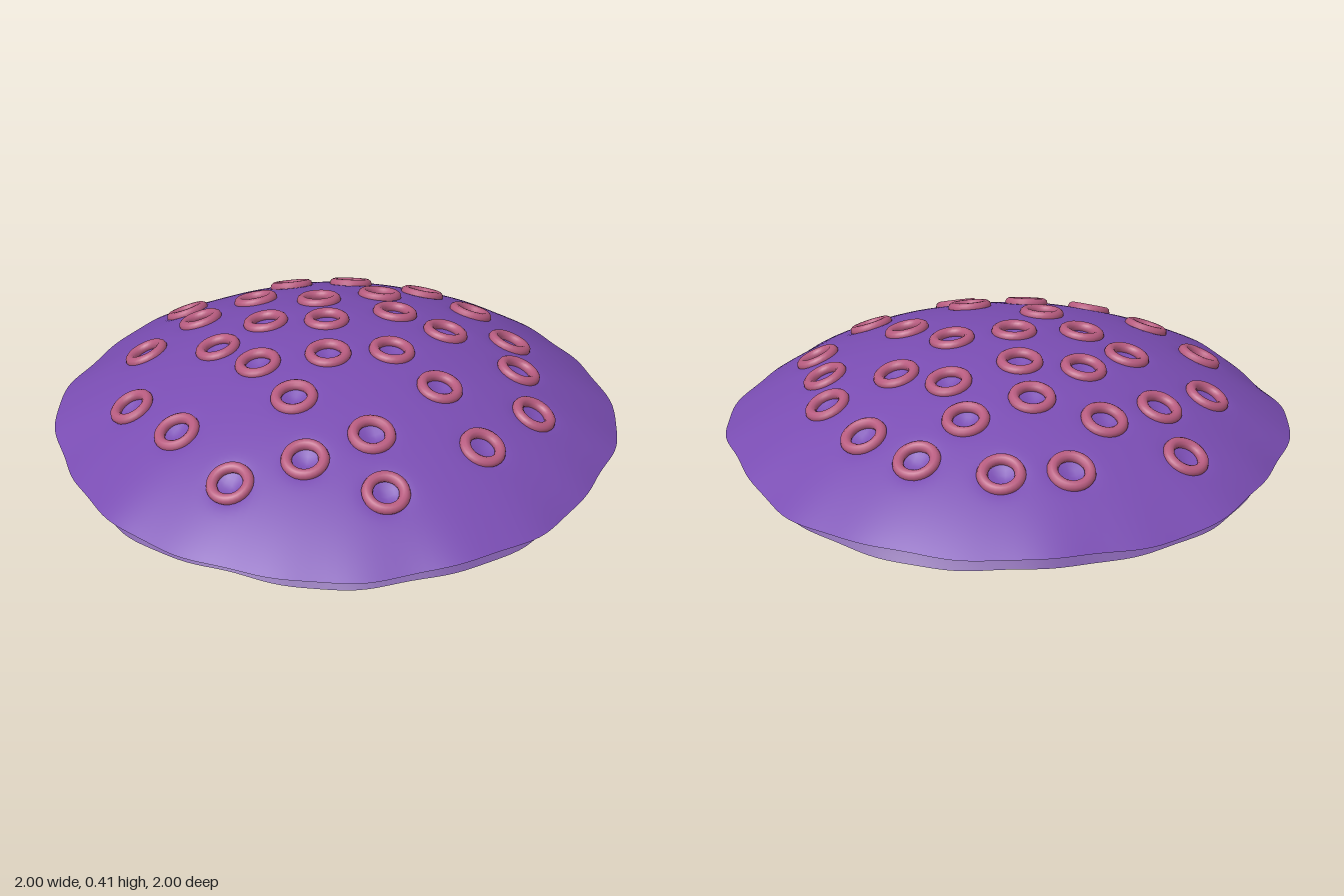
import * as THREE from 'three';
import { mergeVertices } from 'three/addons/utils/BufferGeometryUtils.js';

const APEX = 0.392, R = 1.72;
const domeY = r => APEX - R + Math.sqrt(R * R - r * r);

// Ring positions on the cap, as [x, z]
const SPOTS = [
  [-0.24, -0.65], [0, -0.67], [0.26, -0.61], [0.43, -0.48], [0.63, -0.35], [-0.49, -0.51],
  [-0.63, -0.33], [-0.24, -0.43], [-0.05, -0.33], [0.15, -0.39], [-0.32, -0.2], [-0.54, -0.08],
  [-0.14, -0.08], [0.17, -0.11], [0.41, -0.11], [0.68, -0.05], [-0.78, 0.06], [-0.58, 0.15],
  [-0.3, 0.07], [0.05, 0.08], [-0.58, 0.4], [-0.3, 0.29], [-0.09, 0.28], [0.15, 0.32],
  [0.45, 0.24], [0.64, 0.35], [0.38, 0.47], [-0.33, 0.65], [-0.06, 0.66], [0.26, 0.69]
];

// Soft hollow under each ring
function dimple(x, z) {
  let d = 0;
  for (const [sx, sz] of SPOTS) {
    const q = (x - sx) ** 2 + (z - sz) ** 2;
    if (q < 0.03) d += 0.025 * Math.exp(-q / 0.0026);
  }
  return d;
}

// Dome-shaped shell with a ragged, wavy rim
function shell(radius, drop, phase, hollow) {
  const points = [];
  for (let i = 60; i >= 0; i--) {
    const r = radius * i / 60;
    points.push(new THREE.Vector2(r, domeY(r) - drop));
  }
  let g = new THREE.LatheGeometry(points, 192);
  const p = g.attributes.position;
  for (let i = 0; i < p.count; i++) {
    const x = p.getX(i), z = p.getZ(i);
    const a = Math.atan2(z, x), edge = (Math.hypot(x, z) / radius) ** 6;
    const ragged = 0.008 * Math.cos(8 * a) + 0.006 * Math.sin(6 * a) + 0.004 * Math.cos(20 * a);
    const lift = 0.006 * Math.sin(5 * a + phase) + 0.005 * Math.sin(9 * a - phase);
    const s = 1 + edge * ragged;
    const sink = hollow ? dimple(x, z) : 0;
    p.setXYZ(i, x * s, p.getY(i) + edge * lift - sink, z * s);
  }
  g.deleteAttribute('uv');
  g.deleteAttribute('normal');
  g = mergeVertices(g, 1e-5);
  g.computeVertexNormals();
  return g;
}

export function createModel() {
  const model = new THREE.Group();
  const addShell = (name, geometry, color) => {
    const material = new THREE.MeshStandardMaterial({ color, side: THREE.DoubleSide });
    const mesh = new THREE.Mesh(geometry, material);
    mesh.name = name;
    model.add(mesh);
  };

  // Outer cap, and the smaller membrane parallel to it underneath
  addShell('cap', shell(0.988, 0, 0.6, true), 0x7a4db3);
  addShell('membrane', shell(0.93, 0.108, 2.1, false), 0x7a58a2);

  // Rings lying flush on the dome
  const rings = new THREE.Group();
  rings.name = 'rings';
  const torus = new THREE.TorusGeometry(0.062, 0.019, 10, 28);
  const ringMaterial = new THREE.MeshStandardMaterial({ color: 0xb85c80 });
  const forward = new THREE.Vector3(0, 0, 1);
  for (const [x, z] of SPOTS) {
    const y = domeY(Math.hypot(x, z));
    const normal = new THREE.Vector3(x, y - APEX + R, z).normalize();
    const ring = new THREE.Mesh(torus, ringMaterial);
    ring.name = 'ring';
    ring.position.set(x, y, z);
    ring.quaternion.setFromUnitVectors(forward, normal);
    rings.add(ring);
  }
  model.add(rings);
  return model;
}
